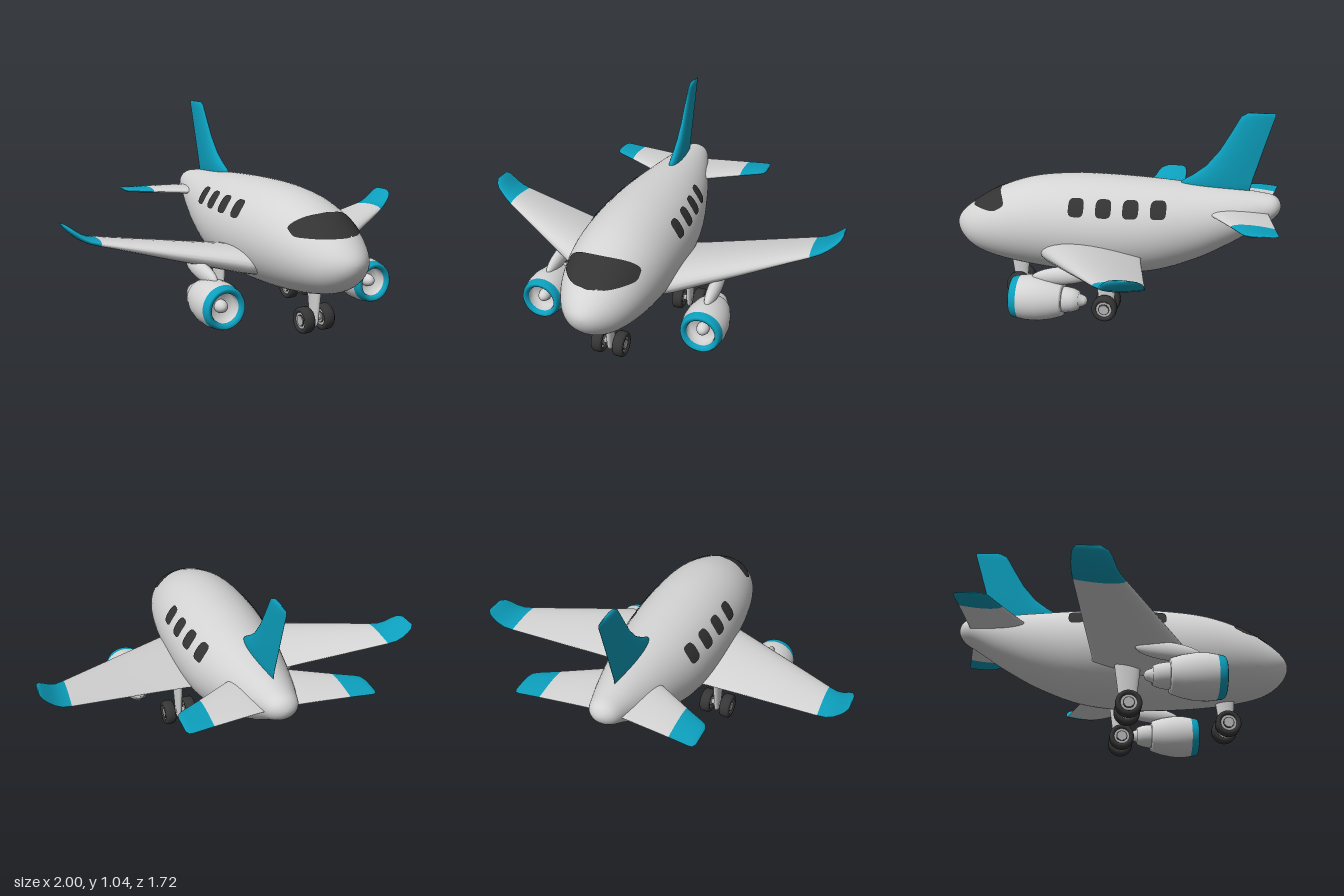
import * as THREE from 'three';

const mat = (name, color, side = THREE.FrontSide) => {
  const m = new THREE.MeshStandardMaterial({ color, side });
  m.name = name;
  return m;
};

// Skin through rings of points; rings from index `split` onward use the second material
function loft(rings, split = rings.length) {
  const n = rings[0].length, pos = rings.flat(2), idx = [];
  const geo = new THREE.BufferGeometry();
  const last = rings.length - 1;
  const centre = ring => {
    [0, 1, 2].forEach(k => pos.push(ring.reduce((s, p) => s + p[k], 0) / n));
    return pos.length / 3 - 1;
  };
  const a = centre(rings[0]), b = centre(rings[last]);
  for (let j = 0; j < n; j++) idx.push(a, j, (j + 1) % n);
  let cut = 0;
  for (let i = 0; i < last; i++) {
    if (i === split) cut = idx.length;
    for (let j = 0; j < n; j++) {
      const p = i * n + j, q = i * n + (j + 1) % n;
      idx.push(p, p + n, q, q, p + n, q + n);
    }
  }
  for (let j = 0; j < n; j++) idx.push(b, last * n + (j + 1) % n, last * n + j);
  geo.setAttribute('position', new THREE.Float32BufferAttribute(pos, 3));
  geo.setIndex(idx);
  if (cut) {
    geo.addGroup(0, cut, 0);
    geo.addGroup(cut, idx.length - cut, 1);
  }
  geo.computeVertexNormals();
  return geo;
}

// Wing-like surface from stations [x, y, leading z, trailing z, thickness]
function airfoil(stations, split) {
  const rings = stations.map(([x, y, le, te, t], i) => {
    const p = stations[Math.max(0, i - 1)], q = stations[Math.min(stations.length - 1, i + 1)];
    const dir = new THREE.Vector2(q[0] - p[0], q[1] - p[1]).normalize();
    return Array.from({ length: 28 }, (_, j) => {
      const a = j / 28 * Math.PI * 2, u = (1 + Math.cos(a)) / 2;
      const v = Math.sin(a) * t / 2 * (0.15 + 1.15 * u ** 0.6);
      return [x - dir.y * v, y + dir.x * v, te + (le - te) * u];
    });
  });
  return loft(rings, split);
}

function mirrored(geo) {
  const g = geo.clone().scale(-1, 1, 1);
  g.index.array.reverse();
  // reversing the index also reverses the order of the colour groups
  const total = g.index.count;
  g.groups.forEach(r => { r.start = total - r.start - r.count; });
  g.computeVertexNormals();
  return g;
}

// Fuselage sections (top, bottom, half width), evenly spaced in the angle acos(z / LEN)
const LEN = 0.86;
const sections = new THREE.CatmullRomCurve3([
  [0.40, 0.40, 0], [0.458, 0.325, 0.078], [0.525, 0.255, 0.152], [0.602, 0.212, 0.21],
  [0.66, 0.183, 0.246], [0.684, 0.165, 0.261], [0.685, 0.162, 0.261], [0.675, 0.188, 0.24],
  [0.66, 0.26, 0.195], [0.645, 0.355, 0.145], [0.63, 0.445, 0.1], [0.612, 0.502, 0.065],
  [0.56, 0.56, 0],
].map(p => new THREE.Vector3(...p)), false, 'catmullrom', 0.5);
function section(t, grow = 0) {
  const s = sections.getPoint(t);
  return { c: (s.x + s.y) / 2, h: (s.x - s.y) / 2 + grow, w: s.z + grow };
}
const sectionAt = z => section(Math.acos(z / LEN) / Math.PI, 0.004);
const arc = r => Math.sqrt(Math.max(0, 1 - r * r));

// Thin rounded patch; place(u, v) puts the unit square onto the skin
function patch(place, power) {
  const rings = 8, n = 48, pos = [], idx = [];
  const soft = v => Math.sign(v) * Math.abs(v) ** (2 / power);
  for (let i = 0; i <= rings; i++) {
    for (let j = 0; j < n; j++) {
      const a = j / n * Math.PI * 2, r = i / rings;
      pos.push(...place(r * soft(Math.cos(a)), r * soft(Math.sin(a))));
      const p = i * n + j, q = i * n + (j + 1) % n;
      if (i < rings) idx.push(p, p + n, q, q, p + n, q + n);
    }
  }
  const geo = new THREE.BufferGeometry();
  geo.setAttribute('position', new THREE.Float32BufferAttribute(pos, 3));
  geo.setIndex(idx);
  geo.computeVertexNormals();
  return geo;
}

// Turned part with its axis along z; profile points are [radius, z]
const turned = pts => new THREE.LatheGeometry(pts.map(p => new THREE.Vector2(...p)), 40).rotateX(Math.PI / 2);

export function createModel() {
  const model = new THREE.Group();
  model.name = 'airplane';
  const body = mat('bodyGrey', 0xd4d4d4);
  const teal = mat('teal', 0x0c9fbd);
  const glass = mat('darkGlass', 0x333333, THREE.DoubleSide);
  const tyre = mat('tyre', 0x363636);
  const hubGrey = mat('hubGrey', 0xb4b4b4);
  const add = (parent, name, geo, material, x = 0, y = 0, z = 0) => {
    const m = new THREE.Mesh(geo, material);
    m.name = name;
    m.position.set(x, y, z);
    parent.add(m);
    return m;
  };

  // Fuselage
  const hull = Array.from({ length: 73 }, (_, i) => {
    const { c, h, w } = section(i / 72), z = LEN * Math.cos(i / 72 * Math.PI);
    return Array.from({ length: 64 }, (_, j) => {
      const a = j / 64 * Math.PI * 2;
      return [w * Math.cos(a), c + h * Math.sin(a), z];
    });
  });
  add(model, 'fuselage', loft(hull), body);

  // Windscreen and cabin windows
  add(model, 'windscreen', patch((u, v) => {
    const x = 0.183 * u, front = 0.77 - 0.14 * u * u, rear = 0.61 - 0.075 * u * u;
    const z = (front + rear) / 2 + (front - rear) / 2 * v, { c, h, w } = sectionAt(z);
    return [x, c + h * arc(x / w), z];
  }, 4.5), glass);
  for (const side of [1, -1]) {
    for (const zc of [0.16, 0.02, -0.117, -0.255]) {
      add(model, 'cabinWindow', patch((u, v) => {
        const z = zc + 0.04 * u, y = 0.567 + 0.043 * v, { c, h, w } = sectionAt(z);
        return [side * w * arc((y - c) / h), y, z];
      }, 3.5), glass);
    }
  }

  // Wings with upturned tips, and tailplanes
  const wing = airfoil([
    [0.08, 0.30, 0.42, -0.17, 0.15], [0.25, 0.32, 0.335, -0.175, 0.13],
    [0.55, 0.368, 0.145, -0.228, 0.085], [0.855, 0.417, -0.05, -0.282, 0.036],
    [0.90, 0.428, -0.08, -0.29, 0.034], [0.935, 0.447, -0.1, -0.293, 0.032],
    [0.965, 0.471, -0.115, -0.293, 0.028], [0.985, 0.49, -0.135, -0.288, 0.022],
    [0.998, 0.503, -0.17, -0.27, 0.01],
  ], 3);
  const tailplane = airfoil([
    [0.02, 0.54, -0.44, -0.79, 0.045], [0.17, 0.543, -0.525, -0.81, 0.04],
    [0.33, 0.545, -0.62, -0.832, 0.03], [0.43, 0.546, -0.675, -0.847, 0.022],
    [0.45, 0.546, -0.69, -0.846, 0.018], [0.46, 0.546, -0.72, -0.825, 0.008],
  ], 2);
  for (const [geo, name] of [[wing, 'Wing'], [tailplane, 'Tailplane']]) {
    add(model, 'left' + name, geo, [body, teal]);
    add(model, 'right' + name, mirrored(geo), [body, teal]);
  }

  // Tail fin
  add(model, 'tailFin', airfoil([
    [0, 0.60, -0.28, -0.69, 0.05], [0, 0.68, -0.36, -0.708, 0.05], [0, 0.71, -0.41, -0.717, 0.046],
    [0, 0.76, -0.475, -0.732, 0.042], [0, 0.84, -0.54, -0.755, 0.036], [0, 0.93, -0.592, -0.782, 0.03],
    [0, 0.99, -0.625, -0.8, 0.025], [0, 1.02, -0.643, -0.81, 0.022], [0, 1.037, -0.675, -0.808, 0.014],
  ]), teal);

  // Engines under the wings
  const cowl = turned([[0.06, 0.18], [0.08, 0.18], [0.086, 0.19], [0.102, 0.24], [0.113, 0.3],
    [0.114, 0.36], [0.108, 0.4]]);
  const lip = turned([[0.108, 0.4], [0.104, 0.425], [0.098, 0.438], [0.09, 0.442], [0.078, 0.435], [0.072, 0.42]]);
  const intake = turned([[0.072, 0.42], [0.07, 0.37], [0.001, 0.37]]);
  const exhaust = turned([[0.001, 0.06], [0.014, 0.063], [0.025, 0.075], [0.034, 0.1], [0.046, 0.1],
    [0.058, 0.13], [0.064, 0.165], [0.064, 0.2]]);
  for (const side of [1, -1]) {
    const engine = new THREE.Group();
    engine.name = side > 0 ? 'leftEngine' : 'rightEngine';
    engine.position.set(side * 0.435, 0.157, 0);
    model.add(engine);
    add(engine, 'cowl', cowl, body);
    add(engine, 'intakeLip', lip, teal);
    add(engine, 'intake', intake, body);
    add(engine, 'exhaust', exhaust, body);
    add(engine, 'spinner', new THREE.SphereGeometry(0.032, 24, 16), body, 0, 0, 0.375).scale.z = 1.4;
    const pylon = add(engine, 'pylon', new THREE.SphereGeometry(1, 24, 16), body, 0, 0.125, 0.18);
    pylon.scale.set(0.034, 0.045, 0.16);
    pylon.rotation.x = 0.12;
  }

  // Landing gear: a tapered strut with a wheel on each side
  const tyreGeo = new THREE.LatheGeometry([[0.04, -0.02], [0.045, -0.028], [0.056, -0.028], [0.064, -0.02],
    [0.065, 0], [0.064, 0.02], [0.056, 0.028], [0.045, 0.028], [0.04, 0.02]]
    .map(p => new THREE.Vector2(...p)), 32).rotateZ(Math.PI / 2);
  const disc = (r, w) => new THREE.CylinderGeometry(r, r, w, 28).rotateZ(Math.PI / 2);
  const gear = (name, x, z, top, rTop, rLow) => {
    const g = new THREE.Group();
    g.name = name;
    g.position.set(x, 0, z);
    model.add(g);
    const strut = add(g, 'strut', new THREE.CylinderGeometry(rTop, rLow, top - 0.05, 28), body, 0, (top + 0.05) / 2);
    strut.scale.x = 0.026 / rTop;
    const foot = add(g, 'strutFoot', new THREE.SphereGeometry(rLow, 24, 12), body, 0, 0.055);
    foot.scale.x = 0.026 / rTop;
    add(g, 'axle', disc(0.014, 0.1), hubGrey, 0, 0.065);
    for (const s of [1, -1]) {
      add(g, 'tyre', tyreGeo, tyre, s * 0.057, 0.065);
      add(g, 'hub', disc(0.041, 0.04), hubGrey, s * 0.057, 0.065);
      add(g, 'hubRing', disc(0.029, 0.044), tyre, s * 0.057, 0.065);
      add(g, 'hubCap', disc(0.024, 0.05), hubGrey, s * 0.057, 0.065);
    }
  };
  gear('noseGear', 0, 0.52, 0.27, 0.058, 0.032);
  gear('leftMainGear', 0.245, 0, 0.31, 0.068, 0.036);
  gear('rightMainGear', -0.245, 0, 0.31, 0.068, 0.036);

  return model;
}
